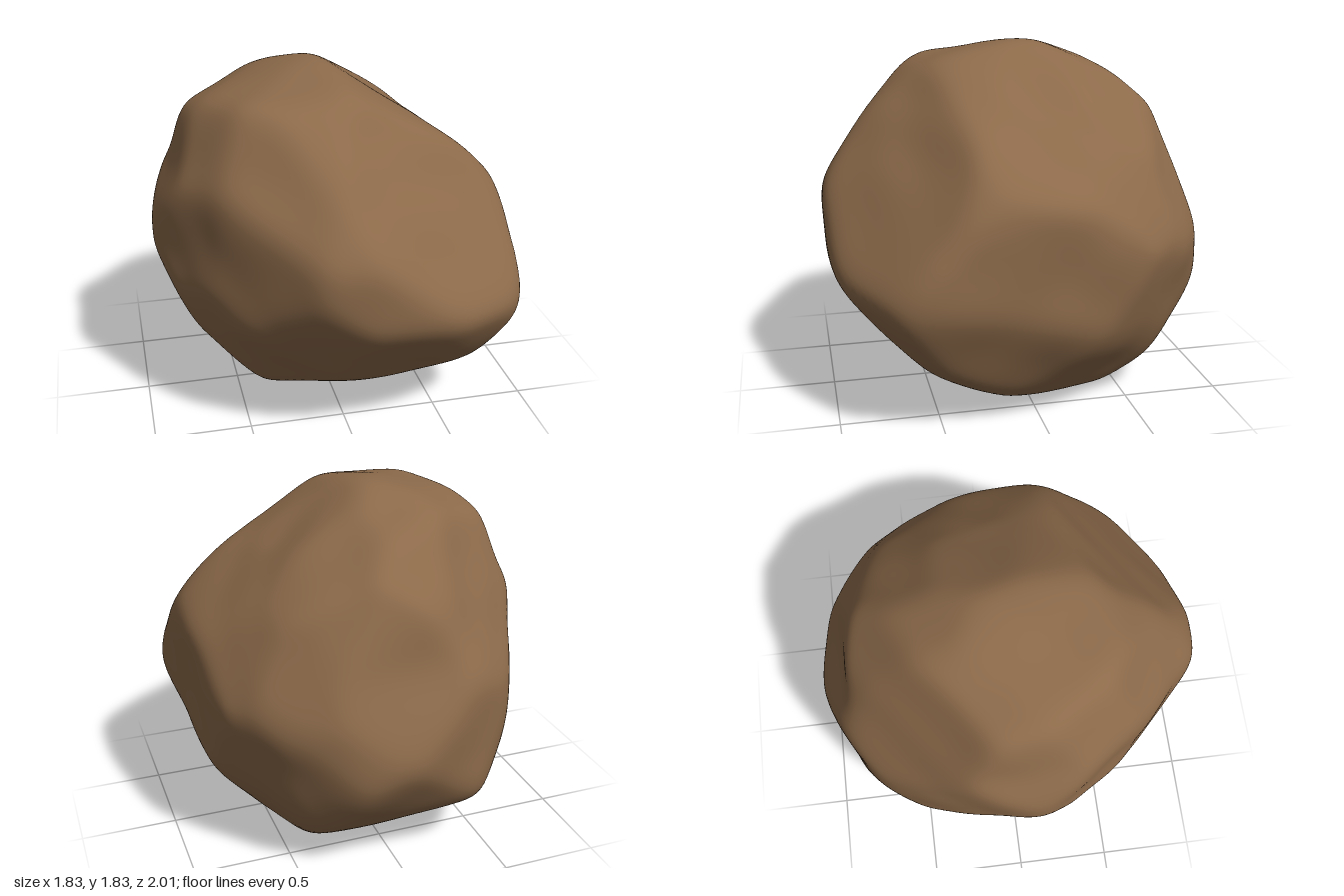
import * as THREE from 'three';
import { mergeVertices } from 'three/addons/utils/BufferGeometryUtils.js';

// Softly cornered closed outline of the boulder about its centre, in the plane
// turned by an azimuth and tilted by an elevation (degrees)
function outline(azimuth, elevation, coords) {
  const az = THREE.MathUtils.degToRad(azimuth), el = THREE.MathUtils.degToRad(elevation);
  const knots = [];
  for (let i = 0; i < coords.length; i += 2) knots.push(new THREE.Vector3(coords[i], coords[i + 1], 0));
  return {
    across: new THREE.Vector3(Math.cos(az), 0, -Math.sin(az)),
    up: new THREE.Vector3(-Math.sin(el) * Math.sin(az), Math.cos(el), -Math.sin(el) * Math.cos(az)),
    points: new THREE.CatmullRomCurve3(knots, true, 'catmullrom', 0.25).getPoints(60),
  };
}

const outlines = [
  // front, side and plan
  outline(0, 0, [-.93, .07, -.79, .43, -.66, .76, -.04, .92, .36, .69,
    .84, .34, .92, -.17, .65, -.76, .09, -.92, -.53, -.77]),
  outline(90, 0, [-1, -.16, -1, .18, -.86, .45, -.5, .8, .1, .92, .7, .66,
    .83, .19, 1, -.24, .76, -.63, .3, -.91, -.45, -.73]),
  outline(0, 90, [0, 1, .4, .89, .8, .54, .91, -.6, .72, -.86,
    .4, -.99, -.33, -.99, -.55, -.7, -.92, -.1, -.6, .7]),
  // tilted diagonals
  outline(45, 27, [0, .94, .53, .8, .96, 0, .77, -.56, .31, -.95,
    -.33, -.82, -.72, -.44, -.87, -.2, -.89, .33, -.58, .83]),
  outline(225, 27, [.29, .88, .83, .63, .85, -.1, .68, -.53, .11, -.98,
    -.64, -.8, -.83, -.56, -.98, -.03, -.73, .42, -.23, .75]),
  outline(135, -27, [.28, .89, .64, .6, .92, .08, .85, -.46, .49, -.77,
    .05, -.9, -.74, -.61, -1.13, -.17, -.89, .33, -.64, .57]),
];

// Broad worn facets: normal and distance from the centre
const facets = [
  [.47, .59, .65, .8], [-.4, .5, .75, .94], [-.6, .45, -.62, .82],
  [-.6, -.5, .6, .84], [.5, .78, -.38, .8],
].map(([x, y, z, distance]) => ({ normal: new THREE.Vector3(x, y, z).normalize(), distance }));

// Distance from the centre to an outline along a direction
function reach({ across, up, points }, dir) {
  const wx = dir.dot(across), wy = dir.dot(up);
  let best = Infinity;
  for (let i = 0; i < points.length - 1; i++) {
    const p = points[i], ex = points[i + 1].x - p.x, ey = points[i + 1].y - p.y;
    const den = wx * ey - wy * ex;
    if (Math.abs(den) < 1e-9) continue;
    const s = (p.x * ey - p.y * ex) / den;
    const t = (p.x * wy - p.y * wx) / den;
    if (s > 0 && t >= -1e-6 && t <= 1 + 1e-6) best = Math.min(best, s);
  }
  return best;
}

// The nearest outline or facet bounds the stone, with gentle lumps added
function radius(dir) {
  let r = Infinity;
  for (const o of outlines) r = Math.min(r, reach(o, dir));
  for (const { normal, distance } of facets) {
    const k = normal.dot(dir);
    if (k > 0.1) r = Math.min(r, distance / k);
  }
  const lumps = 0.009 * Math.sin(7 * dir.x + 4 * dir.y + 1) * Math.sin(6 * dir.y - 5 * dir.z)
    + 0.006 * Math.sin(11 * dir.z + 6 * dir.x) * Math.sin(10 * dir.y + 2);
  return 1.008 * r + lumps; // slightly full, as rounding wears the ridges down
}

// Rounds the ridges by moving each vertex toward its neighbours
function relax(geo, passes) {
  const p = geo.attributes.position.array, idx = geo.index.array;
  for (let k = 0; k < passes; k++) {
    const sum = new Float32Array(p.length), count = new Float32Array(p.length / 3);
    for (let f = 0; f < idx.length; f += 3) {
      for (let e = 0; e < 3; e++) {
        const i = idx[f + e], j = idx[f + (e + 1) % 3];
        for (let c = 0; c < 3; c++) sum[i * 3 + c] += p[j * 3 + c];
        count[i]++;
      }
    }
    for (let i = 0; i < p.length; i++) p[i] += 0.7 * (sum[i] / count[Math.floor(i / 3)] - p[i]);
  }
}

export function createModel() {
  const stone = new THREE.MeshStandardMaterial({ color: 0x8c6a4a });
  stone.name = 'brownStone';

  const ball = new THREE.IcosahedronGeometry(1, 40);
  ball.deleteAttribute('uv');
  ball.deleteAttribute('normal');
  const geo = mergeVertices(ball, 1e-4);
  const pos = geo.attributes.position, v = new THREE.Vector3();
  for (let i = 0; i < pos.count; i++) {
    v.fromBufferAttribute(pos, i).normalize();
    v.multiplyScalar(radius(v));
    pos.setXYZ(i, v.x, v.y, v.z);
  }
  relax(geo, 9);
  geo.computeVertexNormals();

  // Stand the boulder on the ground
  geo.computeBoundingBox();
  geo.translate(0, -geo.boundingBox.min.y, 0);

  const boulder = new THREE.Mesh(geo, stone);
  boulder.name = 'boulder';
  const group = new THREE.Group();
  group.name = 'rock';
  group.add(boulder);
  return group;
}
